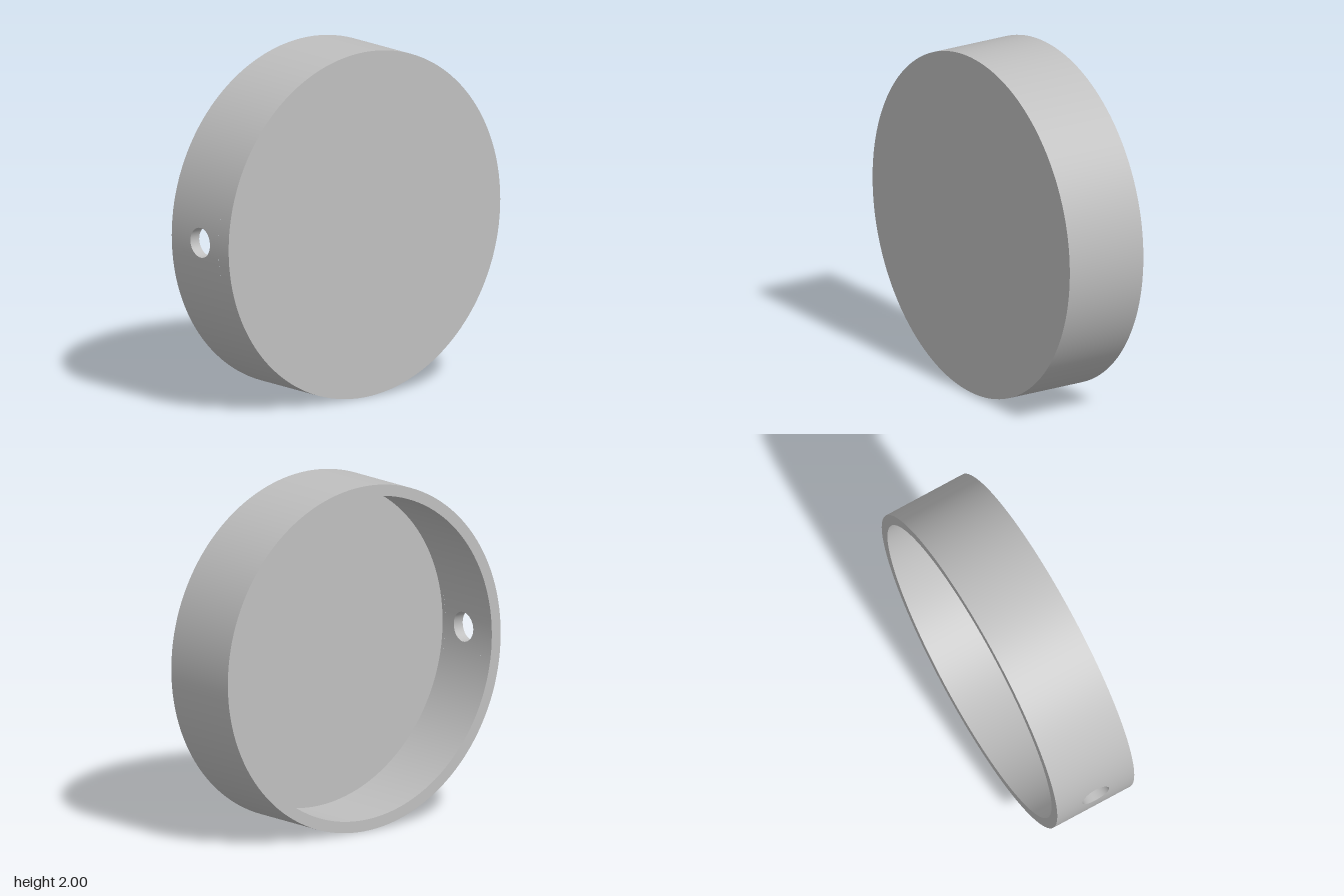
import * as THREE from 'three';
import { mergeGeometries } from 'three/addons/utils/BufferGeometryUtils.js';

const R = 1, RI = 0.935;             // outer and inner wall radius
const BACK = -0.25, FRONT = 0.25, FLOOR = 0.185;
const HOLE = 0.086, BAND = 0.16;     // hole radius, half height of the band it sits in
const SEG = 128, GAP = 8;            // segments round the rim, and how many the hole patch replaces
const STEP = Math.PI * 2 / SEG, HALF = STEP * GAP / 2;

// One straight profile line (radius, z) swept round the z axis; cut leaves a gap at -x
function sweep(r0, z0, r1, z1, cut = false) {
  const pts = [new THREE.Vector2(r0, z0), new THREE.Vector2(r1, z1)];
  const start = Math.PI * 1.5 + (cut ? HALF : 0);
  const g = new THREE.LatheGeometry(pts, cut ? SEG - GAP : SEG, start, Math.PI * 2 - (cut ? 2 * HALF : 0));
  return g.rotateX(Math.PI / 2);
}

// Sheet of rings around the hole axis; fn(s, t) gives [position, normal]
function ringSheet(rings, fn) {
  const N = 64, pos = [], nor = [], uv = [], idx = [];
  for (let k = 0; k <= rings; k++) {
    for (let i = 0; i <= N; i++) {
      const [p, n] = fn(k / rings, i / N * Math.PI * 2);
      pos.push(...p);
      nor.push(...n);
      uv.push(i / N, k / rings);
      if (k < rings && i < N) {
        const a = k * (N + 1) + i, b = a + 1, c = a + N + 1, d = c + 1;
        idx.push(a, b, c, b, d, c);
      }
    }
  }
  const g = new THREE.BufferGeometry();
  g.setAttribute('position', new THREE.Float32BufferAttribute(pos, 3));
  g.setAttribute('normal', new THREE.Float32BufferAttribute(nor, 3));
  g.setAttribute('uv', new THREE.Float32BufferAttribute(uv, 2));
  g.setIndex(idx);
  return g;
}

// Curved wall patch from the hole edge (s = 0) to the patch border (s = 1)
function wallPoint(radius, s, t, side) {
  const c = Math.cos(t), d = Math.sin(t), m = Math.max(Math.abs(c), Math.abs(d));
  const y = THREE.MathUtils.lerp(HOLE * c, radius * Math.sin(HALF) * c / m, s);
  const z = THREE.MathUtils.lerp(HOLE * d, BAND * d / m, s);
  const x = -Math.sqrt(radius * radius - y * y);
  return [[x, y, z], [side * x / radius, side * y / radius, 0]];
}

export function createModel() {
  const group = new THREE.Group();
  group.position.y = 1;
  const grey = new THREE.MeshStandardMaterial({ color: 0xbfbfbf });
  grey.name = 'plainGrey';
  const add = (name, ...parts) => {
    const mesh = new THREE.Mesh(parts.length > 1 ? mergeGeometries(parts) : parts[0], grey);
    mesh.name = name;
    group.add(mesh);
  };

  // Closed front and the floor behind it
  add('frontFace', sweep(R, FRONT, 0, FRONT));
  add('innerFloor', sweep(0, FLOOR, RI, FLOOR));

  // Open back rim
  add('backRim', sweep(RI, BACK, R, BACK));

  // Walls, with a gap in the middle band for the hole patch
  add('outerWall',
    sweep(R, BACK, R, -BAND), sweep(R, -BAND, R, BAND, true), sweep(R, BAND, R, FRONT));
  add('innerWall',
    sweep(RI, FLOOR, RI, BAND), sweep(RI, BAND, RI, -BAND, true), sweep(RI, -BAND, RI, BACK));

  // Wall patches around the round side hole, and its bore
  add('holeSurround',
    ringSheet(6, (s, t) => wallPoint(R, s, t, 1)),
    ringSheet(6, (s, t) => wallPoint(RI, 1 - s, t, -1)));
  add('holeBore', ringSheet(1, (s, t) => [
    wallPoint(s ? R : RI, 0, t, 1)[0], [0, -Math.cos(t), -Math.sin(t)]]));

  const model = new THREE.Group();
  model.name = 'roundCap';
  group.name = 'capBody';
  model.add(group);
  return model;
}
